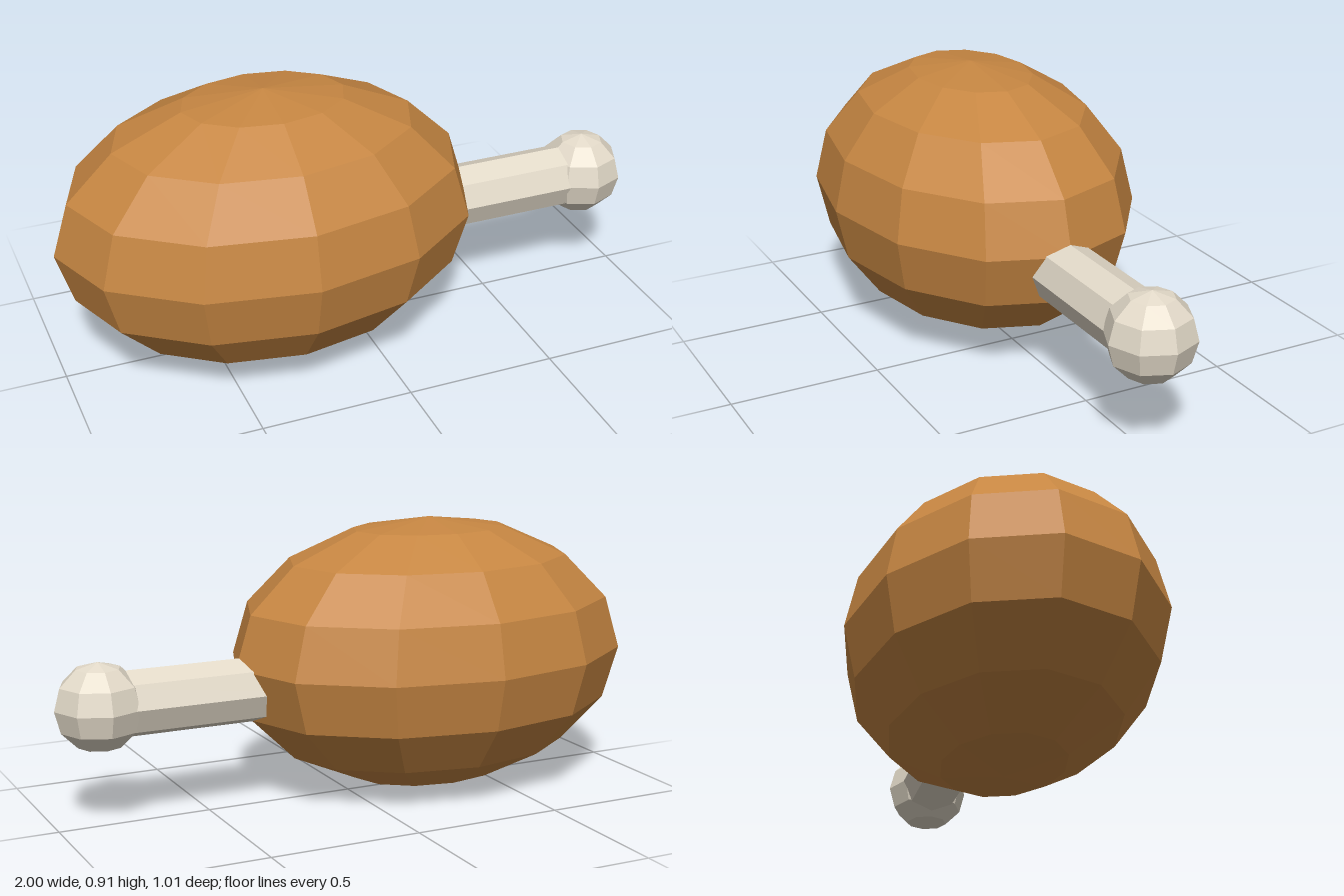
import * as THREE from 'three';

export function createModel() {
  const group = new THREE.Group();
  const meat = new THREE.MeshStandardMaterial({ color: 0xc68642, flatShading: true });
  meat.name = 'roasted meat';
  const bone = new THREE.MeshStandardMaterial({ color: 0xe3dac9, flatShading: true });
  bone.name = 'bone';

  const add = (name, geometry, material, x, y) => {
    const mesh = new THREE.Mesh(geometry, material);
    mesh.name = name;
    mesh.position.set(x, y, 0);
    group.add(mesh);
  };

  // Faceted egg of meat, longest along x
  add('meat', new THREE.SphereGeometry(1, 12, 8).scale(0.7, 0.454, 0.504), meat, -0.3, 0.454);

  // Eight-sided bone shaft, running from inside the meat into the knob
  const shaft = new THREE.CylinderGeometry(0.107, 0.107, 0.65, 8).rotateZ(-Math.PI / 2);
  add('boneShaft', shaft, bone, 0.525, 0.385);

  // Knob at the end of the bone
  add('boneKnob', new THREE.SphereGeometry(0.143, 8, 6), bone, 0.857, 0.385);

  return group;
}
